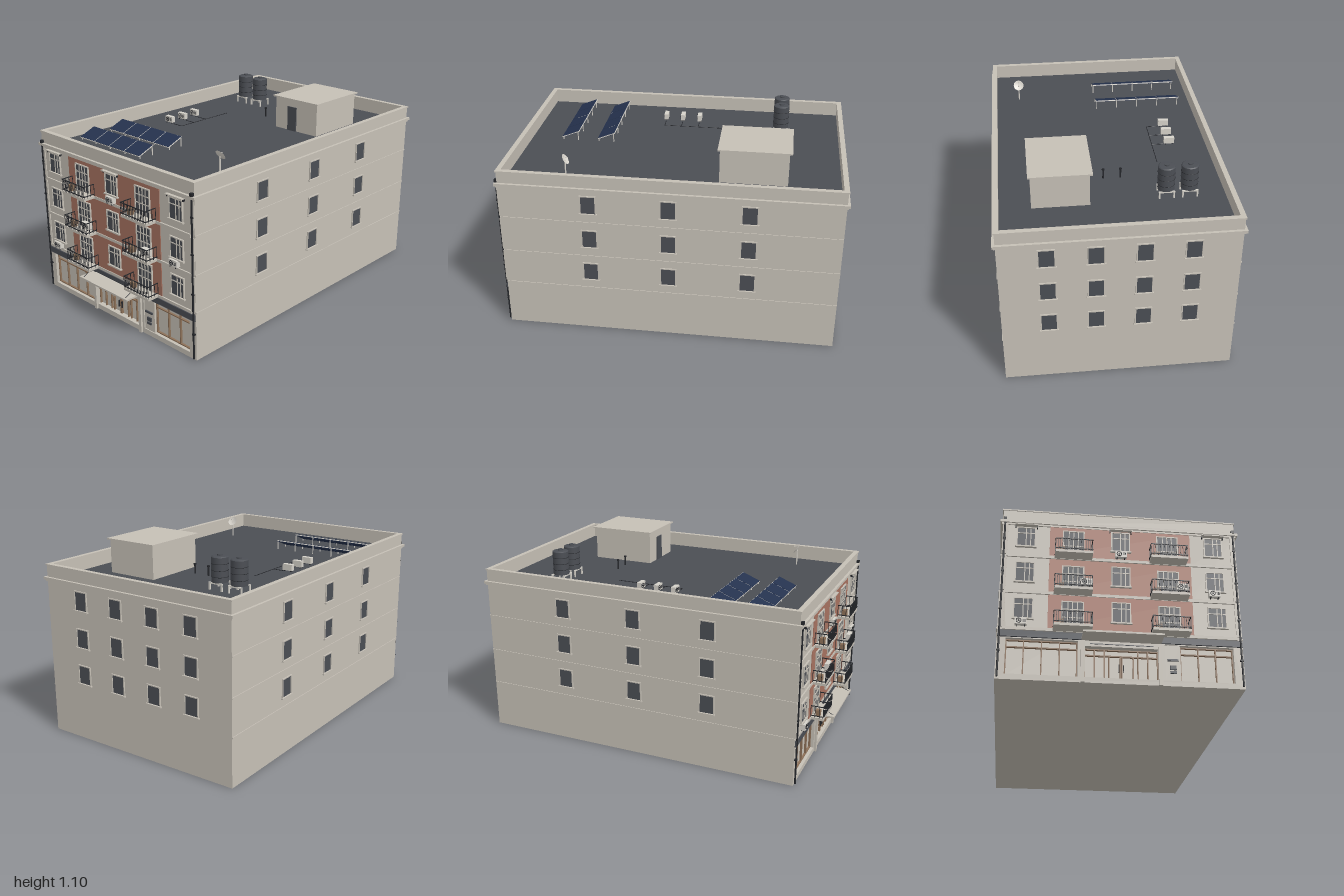
import * as THREE from 'three';

const mat = (name, color, side = THREE.FrontSide) => {
  const m = new THREE.MeshStandardMaterial({ color, side });
  m.name = name;
  return m;
};

export function createModel() {
  const WALL = mat('stone wall', 0xc6c0b6), DARK = mat('dark slate', 0x4b4e54);
  const BRICK = mat('brick', 0xa87361), BLACK = mat('black metal', 0x25272b);
  const WOOD = mat('bronze frame', 0x8c7058), NAVY = mat('solar blue', 0x25324e);
  const PALE = mat('pale metal', 0xd6d2ca, THREE.DoubleSide);
  const model = new THREE.Group();
  model.name = 'apartmentBuilding';

  const group = (parent, name, x = 0, y = 0, z = 0) => {
    const g = new THREE.Group();
    g.name = name;
    g.position.set(x, y, z);
    parent.add(g);
    return g;
  };
  const add = (parent, name, geo, m, x = 0, y = 0, z = 0) => {
    const o = new THREE.Mesh(geo, m);
    o.name = name;
    o.position.set(x, y, z);
    parent.add(o);
    return o;
  };
  // box given by its extents
  const box = (p, name, m, x0, x1, y0, y1, z0, z1) =>
    add(p, name, new THREE.BoxGeometry(x1 - x0, y1 - y0, z1 - z0), m, (x0 + x1) / 2, (y0 + y1) / 2, (z0 + z1) / 2);
  const rod = (p, name, m, a, b, r) => {
    const s = new THREE.Vector3(...a), e = new THREE.Vector3(...b), d = e.clone().sub(s);
    const o = add(p, name, new THREE.CylinderGeometry(r, r, d.length(), 8), m);
    o.position.copy(s).addScaledVector(d, 0.5);
    o.quaternion.setFromUnitVectors(new THREE.Vector3(0, 1, 0), d.normalize());
  };
  // rectangular ring around the plan
  const ring = (name, m, X, z0, z1, t, y0, y1) => {
    const g = group(model, name);
    box(g, name + 'Front', m, -X, X, y0, y1, z1 - t, z1);
    box(g, name + 'Back', m, -X, X, y0, y1, z0, z0 + t);
    for (const s of [-1, 1]) box(g, name + 'Side', m, s * (X - t / 2) - t / 2, s * (X - t / 2) + t / 2, y0, y1, z0 + t, z1 - t);
  };
  // window facing +z with its origin at the bottom centre
  const win = (p, x, y, z, w, h, ups, overs, ry = 0, sill = true) => {
    const g = group(p, 'window', x, y, z), f = 0.006;
    g.rotation.y = ry;
    box(g, 'glass', DARK, -w / 2, w / 2, 0, h, -0.002, 0.002);
    for (const s of [-1, 1]) box(g, 'jamb', WALL, s * w / 2 - f / 2, s * w / 2 + f / 2, 0, h, -0.002, 0.007);
    box(g, 'head', WALL, -w / 2 - f / 2, w / 2 + f / 2, h - f / 2, h + f / 2, -0.002, 0.007);
    if (sill) box(g, 'sill', WALL, -w / 2 - 0.008, w / 2 + 0.008, -0.008, 0, -0.002, 0.012);
    for (const u of ups) box(g, 'mullion', WALL, u * w - 0.0025, u * w + 0.0025, 0, h, 0, 0.005);
    for (const v of overs) box(g, 'transom', WALL, -w / 2, w / 2, v * h - 0.0025, v * h + 0.0025, 0, 0.005);
  };
  const aircon = (p, x, y, z) => {
    const g = group(p, 'airConditioner', x, y, z);
    box(g, 'casing', PALE, -0.03, 0.03, 0, 0.036, 0, 0.025);
    const fan = add(g, 'fanRing', new THREE.TorusGeometry(0.012, 0.002, 6, 20), BLACK, -0.01, 0.018, 0.026);
    const hub = add(g, 'fanHub', new THREE.CylinderGeometry(0.005, 0.005, 0.003, 12), BLACK, fan.position.x, 0.018, 0.026);
    hub.rotation.x = Math.PI / 2;
    for (const v of [0.012, 0.018, 0.024]) box(g, 'louvre', BLACK, 0.01, 0.026, v - 0.001, v + 0.001, 0.025, 0.027);
    for (const s of [-1, 1]) box(g, 'bracket', BLACK, s * 0.02 - 0.002, s * 0.02 + 0.002, -0.006, 0, 0, 0.025);
  };

  // main block and pierced front wall
  const Z = 0.895, B = -0.985, X = 0.625;
  box(model, 'mainBlock', WALL, -X, X, 0, 0.9, B, 0.865);
  const rect = (T, x0, x1, y0, y1) => {
    const t = new T();
    t.moveTo(x0, y0); t.lineTo(x1, y0); t.lineTo(x1, y1); t.lineTo(x0, y1); t.closePath();
    return t;
  };
  const facade = rect(THREE.Shape, -X, X, 0, 0.9);
  for (const [a, b] of [[-0.58, -0.22], [-0.19, 0.19], [0.22, 0.575]]) facade.holes.push(rect(THREE.Path, a, b, 0.03, 0.225));
  add(model, 'frontWall', new THREE.ExtrudeGeometry(facade, { depth: 0.03, bevelEnabled: false }), WALL, 0, 0, 0.865);

  // roof deck, parapet, cornice
  box(model, 'roofDeck', DARK, -0.61, 0.61, 0.9, 0.903, -0.97, 0.88);
  ring('parapet', WALL, X, B, Z, 0.02, 0.9, 0.985);
  ring('coping', WALL, 0.63, -0.99, 0.9, 0.028, 0.98, 0.987);
  ring('cornice', WALL, 0.64, -1, 0.91, 0.03, 0.9, 0.915);
  ring('corniceMoulding', WALL, 0.632, -0.992, 0.902, 0.02, 0.89, 0.9);

  // storeys: floor bands, brick panels, windows, balconies
  const floors = [0.285, 0.495, 0.71];
  floors.forEach((y, i) => {
    const top = [0.48, 0.692, 0.895][i], sillY = [0.335, 0.547, 0.76][i];
    box(model, 'brickPanel', BRICK, -0.375, 0.375, y, top, Z, Z + 0.004);
    box(model, 'frontBand', WALL, -0.6, 0.6, y - 0.016, y, Z, Z + 0.008);
    for (const s of [-1, 1]) {
      box(model, 'sideBand', WALL, s * X - 0.004, s * X + 0.004, y - 0.012, y - 0.004, B, Z);
      box(model, 'cornerPilaster', WALL, s * 0.61 - 0.014, s * 0.61 + 0.014, y, top, Z, Z + 0.006);
      for (const z of [0.395, -0.045, -0.485]) win(model, s * X, sillY, z, 0.085, 0.105, [], [], s * Math.PI / 2);
    }
    for (const x of [-0.375, -0.125, 0.125, 0.375]) win(model, x, sillY, B, 0.085, 0.105, [], [], Math.PI);
    for (const x of [-0.5, 0, 0.5]) {
      win(model, x, sillY, Z + 0.005, 0.095, 0.113, [0, 0.25], [0.7]);
      if (i === 2) {
        box(model, 'windowHood', WALL, x - 0.06, x + 0.06, 0.884, 0.89, Z, Z + 0.025);
        for (const s of [-1, 1]) box(model, 'hoodBracket', BLACK, x + s * 0.057 - 0.002, x + s * 0.057 + 0.002, 0.872, 0.884, Z, Z + 0.015);
      }
    }
    for (const x of [-0.25, 0.25]) {
      win(model, x, y, Z + 0.005, 0.11, 0.155, [-0.22, 0, 0.22], [0.42, 0.72], 0, false);
      balcony(x, y);
    }
  });

  function balcony(x, y) {
    const g = group(model, 'balcony', x, y, Z), w = 0.098, d = 0.077;
    box(g, 'slab', WALL, -w, w, -0.014, 0, 0, d);
    for (const h of [0.008, 0.066]) {
      box(g, 'frontRail', BLACK, -w, w, h, h + 0.004, d - 0.004, d);
      for (const s of [-1, 1]) box(g, 'sideRail', BLACK, s * (w - 0.002) - 0.002, s * (w - 0.002) + 0.002, h, h + 0.004, 0, d);
    }
    for (let i = 0; i <= 16; i++) {
      const u = (i / 16 * 2 - 1) * (w - 0.002);
      box(g, 'baluster', BLACK, u - 0.0012, u + 0.0012, 0, 0.068, d - 0.003, d - 0.001);
    }
    for (const s of [-1, 1]) for (const v of [0.004, 0.028, 0.052])
      box(g, 'sideBaluster', BLACK, s * (w - 0.002) - 0.0012, s * (w - 0.002) + 0.0012, 0, 0.068, v, v + 0.0024);
    box(g, 'planter', WOOD, -0.075, -0.048, 0, 0.035, 0.026, 0.052);
  }
  for (const [x, y, z] of [[0, 0.715, Z], [-0.51, 0.292, Z], [0.49, 0.507, Z], [-0.185, 0.52, Z + 0.03], [0.315, 0.52, Z + 0.03]])
    aircon(model, x, y, z + 0.004);

  // downpipes
  for (const s of [-1, 1]) {
    rod(model, 'downpipe', BLACK, [s * 0.614, 0.01, Z + 0.009], [s * 0.614, 0.91, Z + 0.009], 0.005);
    box(model, 'rainHopper', BLACK, s * 0.614 - 0.008, s * 0.614 + 0.008, 0.915, 0.932, Z, Z + 0.016);
    for (const y of [0.15, 0.38, 0.6, 0.8]) box(model, 'pipeClip', BLACK, s * 0.614 - 0.008, s * 0.614 + 0.008, y, y + 0.008, Z, Z + 0.014);
  }

  // ground floor: fascia, shopfronts, entrance
  for (const s of [-1, 1]) {
    box(model, 'signFascia', DARK, Math.min(s * 0.18, s * 0.622), Math.max(s * 0.18, s * 0.622), 0.23, 0.265, Z, Z + 0.009);
    box(model, 'entrancePier', WALL, s * 0.195 - 0.01, s * 0.195 + 0.01, 0, 0.225, Z, Z + 0.012);
  }
  box(model, 'centreFascia', DARK, -0.18, 0.18, 0.24, 0.265, Z, Z + 0.009);
  const zf = 0.865;
  const bars = (name, xs, y0, y1) => xs.forEach(x => box(model, name, WOOD, x - 0.003, x + 0.003, y0, y1, zf, zf + 0.012));
  const rail = (name, x0, x1, y) => box(model, name, WOOD, x0, x1, y - 0.003, y + 0.003, zf, zf + 0.012);
  bars('shopMullion', [-0.577, -0.49, -0.4, -0.31, -0.223, 0.303, 0.395, 0.485, 0.572], 0.03, 0.225);
  for (const [a, b] of [[-0.58, -0.22], [0.3, 0.575]]) {
    rail('shopTransom', a, b, 0.185);
    rail('shopHead', a, b, 0.222);
    rail('shopFoot', a, b, 0.033);
  }
  box(model, 'servicePanel', WALL, 0.22, 0.3, 0.03, 0.225, zf, Z - 0.005);
  for (const [a, b, c, d] of [[0.232, 0.288, 0.138, 0.148], [0.245, 0.277, 0.09, 0.112], [0.245, 0.277, 0.07, 0.082]])
    box(model, 'wallBox', DARK, a, b, c, d, Z - 0.005, Z + 0.003);
  bars('entranceMullion', [-0.185, -0.135, -0.085, 0.085, 0.135, 0.185], 0.03, 0.19);
  bars('doorStile', [-0.061, -0.004, 0.004, 0.061], 0.03, 0.155);
  rail('entranceTransom', -0.19, 0.19, 0.157);
  rail('entranceHead', -0.19, 0.19, 0.19);
  for (const s of [-1, 1]) box(model, 'doorHandle', BLACK, s * 0.012 - 0.0015, s * 0.012 + 0.0015, 0.07, 0.11, zf + 0.008, zf + 0.018);
  box(model, 'entranceSignBoard', WALL, -0.185, 0.185, 0.195, 0.225, zf, Z + 0.008);
  box(model, 'signTrim', DARK, -0.16, 0.16, 0.207, 0.211, Z + 0.008, Z + 0.01);
  box(model, 'canopy', WALL, -0.203, 0.203, 0.228, 0.238, Z, 1);
  for (const s of [-1, 1]) rod(model, 'canopyStay', BLACK, [s * 0.18, 0.238, 0.99], [s * 0.18, 0.28, Z], 0.0018);

  // stair house
  const house = group(model, 'stairHouse');
  box(house, 'houseWalls', WALL, 0.125, 0.435, 0.9, 1.094, -0.675, -0.3);
  box(house, 'houseRoof', WALL, 0.11, 0.447, 1.094, 1.102, -0.69, -0.288);
  box(house, 'houseDoor', DARK, 0.22, 0.285, 0.903, 1.05, -0.3, -0.294);

  // water tanks
  for (const x of [-0.41, -0.285]) {
    const g = group(model, 'waterTank', x, 0.9, -0.615);
    const profile = [[0, 0.045], [0.046, 0.045], [0.046, 0.18], [0.04, 0.184], [0.014, 0.186], [0.014, 0.193], [0, 0.193]];
    for (let i = 0; i < profile.length - 1; i++)
      add(g, 'tankShell', new THREE.LatheGeometry([profile[i], profile[i + 1]].map(p => new THREE.Vector2(...p)), 28), DARK);
    for (const y of [0.075, 0.11, 0.145]) add(g, 'tankHoop', new THREE.TorusGeometry(0.046, 0.0015, 6, 28), BLACK, 0, y, 0).rotation.x = Math.PI / 2;
    for (const a of [-1, 1]) {
      box(g, 'standBeam', PALE, -0.044, 0.044, 0.037, 0.045, a * 0.038 - 0.004, a * 0.038 + 0.004);
      for (const b of [-1, 1]) box(g, 'standLeg', PALE, a * 0.039 - 0.004, a * 0.039 + 0.004, 0, 0.045, b * 0.039 - 0.004, b * 0.039 + 0.004);
    }
  }

  // tilted solar panels on legs
  for (const z of [0.42, 0.638]) {
    for (let i = 0; i < 4; i++) {
      const g = group(model, 'solarPanel', -0.469 + i * 0.131, 0.938, z);
      g.rotation.x = 0.38;
      box(g, 'panelFrame', PALE, -0.064, 0.064, -0.003, 0.002, -0.056, 0.056);
      box(g, 'panelCells', NAVY, -0.062, 0.062, 0.002, 0.004, -0.054, 0.054);
      box(g, 'panelUnderside', NAVY, -0.062, 0.062, -0.005, -0.003, -0.054, 0.054);
    }
    for (let i = 0; i < 5; i++) {
      const x = -0.525 + i * 0.128;
      rod(model, 'panelRearLeg', PALE, [x, 0.9, z - 0.045], [x, 0.953, z - 0.045], 0.003);
      rod(model, 'panelFrontLeg', PALE, [x, 0.9, z + 0.045], [x, 0.917, z + 0.045], 0.003);
    }
  }

  // rooftop cooling units with pipes
  for (const z of [-0.105, 0, 0.105]) {
    aircon(model, -0.39, 0.916, z - 0.0125);
    rod(model, 'coolingPipe', BLACK, [-0.36, 0.908, z], [-0.29, 0.908, z], 0.002);
  }
  rod(model, 'mainCoolingPipe', BLACK, [-0.29, 0.908, 0.105], [-0.29, 0.908, -0.3], 0.002);
  for (const x of [-0.065, 0.03]) {
    rod(model, 'ventPipe', BLACK, [x, 0.9, -0.425], [x, 0.955, -0.425], 0.005);
    rod(model, 'ventCap', BLACK, [x, 0.955, -0.425], [x, 0.962, -0.425], 0.008);
  }

  // satellite dish tipped towards the back
  rod(model, 'dishMast', PALE, [0.465, 0.9, 0.55], [0.465, 1.0, 0.55], 0.004);
  const dish = group(model, 'satelliteDish', 0.465, 1.0, 0.552);
  dish.rotation.x = -1.0;
  const bowl = [0, 0.01, 0.02, 0.031].map(r => new THREE.Vector2(r, r * r * 7));
  add(dish, 'dishBowl', new THREE.LatheGeometry(bowl, 24), PALE);
  rod(dish, 'dishArm', PALE, [0, 0.004, 0.02], [0, 0.026, 0], 0.0015);
  return model;
}
